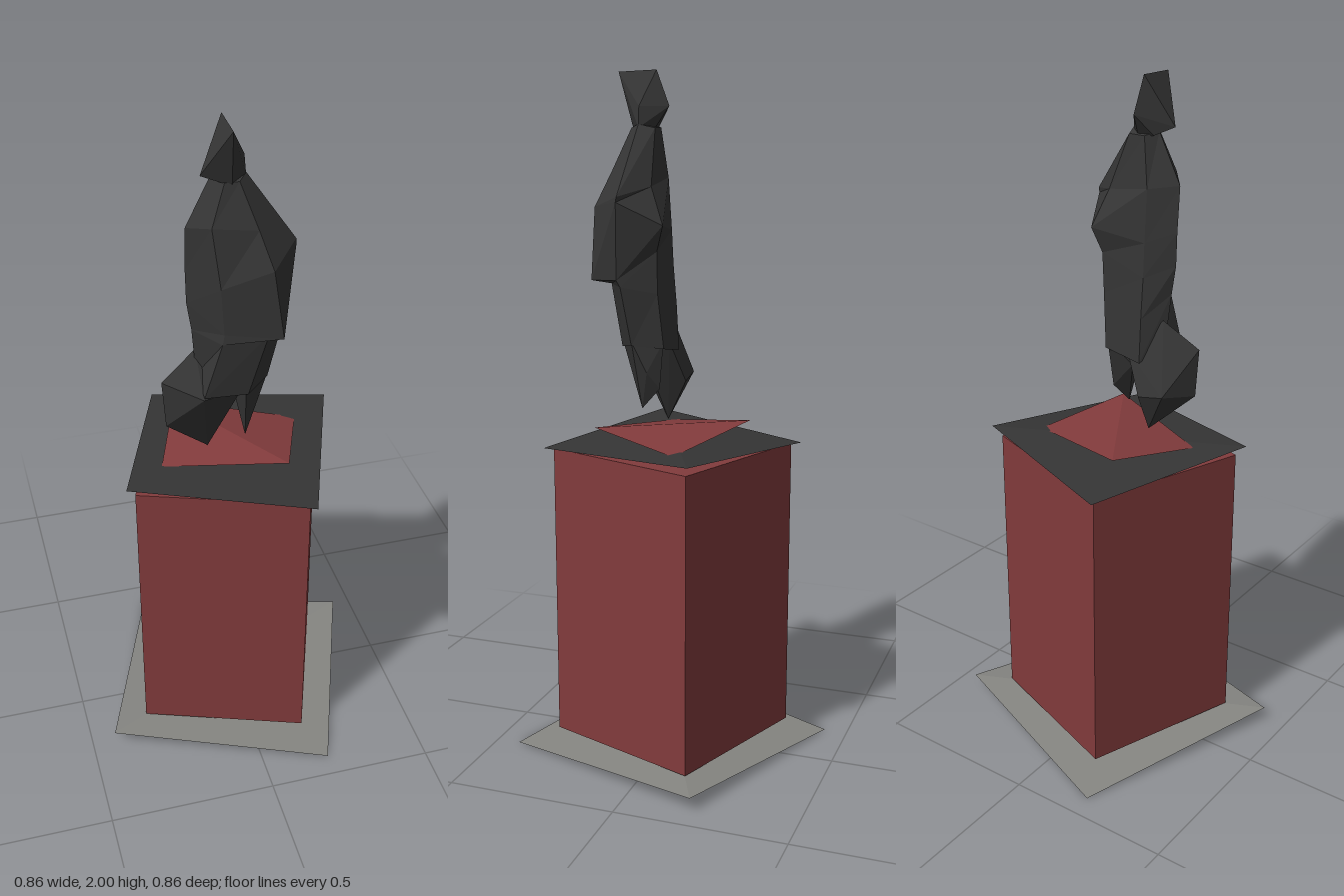
import * as THREE from 'three';
import { ConvexGeometry } from 'three/addons/geometries/ConvexGeometry.js';

const mat = (name, color) => {
  const m = new THREE.MeshStandardMaterial({ color, flatShading: true });
  m.name = name;
  return m;
};

// Faceted surface from points and triangles
function facets(points, tris) {
  const g = new THREE.BufferGeometry();
  g.setAttribute('position', new THREE.Float32BufferAttribute(points.flat(), 3));
  g.setIndex(tris.flat());
  const flat = g.toNonIndexed();
  flat.computeVertexNormals();
  return flat;
}

// Four corners of the turned square: front, right, back, left
function corners(radius, yFrontBack, ySides) {
  return [0, 1, 2, 3].map((k) => {
    const a = THREE.MathUtils.degToRad(25 + 90 * k);
    return [radius * Math.sin(a), k % 2 ? ySides : yFrontBack, radius * Math.cos(a)];
  });
}
const ROOF_SIDES = [[0, 1, 3], [1, 2, 3]]; // ridge from left to right corner
const ROOF_DEPTH = [[0, 1, 2], [0, 2, 3]]; // ridge from front to back corner
const UNDERSIDE = [[0, 2, 1], [0, 3, 2]];

// Body skin through rings listed from top to bottom
function loft(rings) {
  const n = rings[0].length, tris = [];
  for (let r = 0; r < rings.length - 1; r++) {
    for (let i = 0; i < n; i++) {
      const j = (i + 1) % n, b = r * n, a = b + n;
      tris.push([a + i, a + j, b + j], [a + i, b + j, b + i]);
    }
  }
  const last = (rings.length - 1) * n;
  for (let i = 1; i < n - 1; i++) {
    tris.push([0, i, i + 1], [last, last + i + 1, last + i]);
  }
  return facets(rings.flat(), tris);
}

const hull = (pts) => new ConvexGeometry(pts.map((p) => new THREE.Vector3(...p)));

export function createModel() {
  const group = new THREE.Group();
  const red = mat('red stone', 0x823b3c);
  const dark = mat('dark metal', 0x353535);
  const grey = mat('grey stone', 0x868682);
  const add = (name, geometry, material) => {
    const mesh = new THREE.Mesh(geometry, material);
    mesh.name = name;
    group.add(mesh);
    return mesh;
  };

  // Plinth
  add('basePlate', facets(corners(0.475, 0, 0.042), [...ROOF_SIDES, ...UNDERSIDE]), grey);
  const side = 0.351 * Math.SQRT2;
  const pedestal = add('pedestal', new THREE.BoxGeometry(side, 0.88, side), red);
  pedestal.position.y = 0.485;
  pedestal.rotation.y = THREE.MathUtils.degToRad(-20);
  const slab = corners(0.381, 0.926, 0.955);
  add('slabTop', facets(slab, ROOF_SIDES), dark);
  add('slabUnderside', facets(slab, UNDERSIDE), red);
  const cap = [[0.12, 0.99, 0.2], [0.223, 0.95, -0.077], [-0.125, 0.99, -0.197], [-0.223, 0.952, 0.07]];
  add('cap', facets(cap, ROOF_DEPTH), red);

  // Cloaked body: each ring runs left, front, right, back as seen from the front
  add('body', loft([
    [[-0.075, 1.85, 0.09], [-0.05, 1.84, 0.13], [-0.01, 1.84, 0.13], [0.015, 1.85, 0.1], [0, 1.84, 0.055], [-0.05, 1.84, 0.055]],
    [[-0.145, 1.71, 0.09], [-0.09, 1.73, 0.155], [0.03, 1.72, 0.175], [0.148, 1.655, 0.115], [0.06, 1.68, 0.045], [-0.07, 1.7, 0.04]],
    [[-0.145, 1.58, 0.08], [-0.07, 1.56, 0.17], [0.06, 1.62, 0.217], [0.148, 1.64, 0.118], [0.09, 1.575, 0], [-0.07, 1.55, 0.03]],
    [[-0.143, 1.485, 0.08], [-0.06, 1.42, 0.165], [0.09, 1.415, 0.217], [0.118, 1.42, 0.13], [0.07, 1.5, 0.025], [-0.07, 1.45, 0.025]],
    [[-0.13, 1.4, 0.08], [-0.065, 1.39, 0.165], [0.065, 1.405, 0.165], [0.113, 1.4, 0.12], [0.065, 1.38, 0.025], [-0.07, 1.33, 0.015]],
    [[-0.117, 1.25, 0.07], [-0.115, 1.225, 0.16], [0.01, 1.215, 0.155], [0.08, 1.23, 0.1], [0.05, 1.22, 0.012], [-0.07, 1.2, 0.008]],
  ]), dark);

  // Head, leaning forward to a crest
  add('head', hull([
    [-0.04, 1.995, 0.18], [-0.04, 2, 0.065], [-0.035, 1.9, 0.025], [0.01, 1.9, 0.1], [0.015, 1.84, 0.1],
    [-0.11, 1.86, 0.115], [-0.07, 1.84, 0.07], [-0.03, 1.83, 0.13], [-0.02, 1.83, 0.07],
  ]), dark);

  // Legs, the right one wrapped by the hem of the cloak
  add('rightLegAndHem', hull([
    [-0.117, 1.325, 0.06], [-0.22, 1.25, 0.09], [-0.21, 1.105, 0.09], [-0.16, 1.12, -0.008], [-0.08, 0.985, 0.045],
    [-0.115, 1.215, 0.155], [-0.01, 1.155, 0.08], [0, 1.215, 0.125], [-0.08, 1.105, -0.01], [-0.02, 1.23, 0.02],
  ]), dark);
  add('leftLeg', hull([
    [-0.005, 1.16, 0.07], [0.02, 1.035, 0.09], [0.063, 1.15, 0.06], [0.08, 1.24, 0.1],
    [0.005, 1.215, 0.15], [0.045, 1.24, 0.015], [0.035, 1.1, 0.03],
  ]), dark);

  return group;
}
